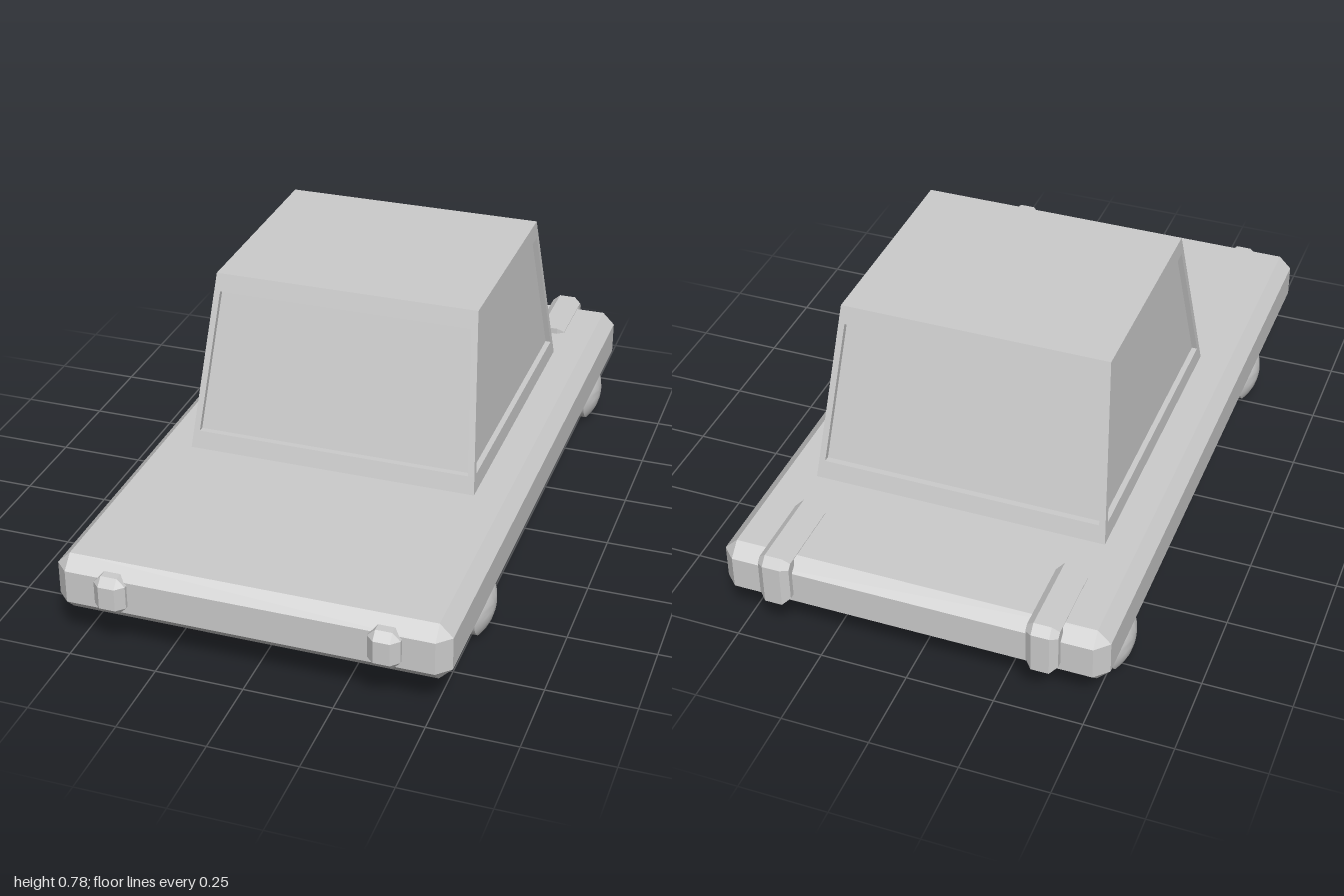
import * as THREE from 'three';
import { ConvexGeometry } from 'three/addons/geometries/ConvexGeometry.js';
import { toCreasedNormals } from 'three/addons/utils/BufferGeometryUtils.js';

const material = new THREE.MeshStandardMaterial({ color: 0xcccccc });

function add(parent, name, geometry, x = 0, y = 0, z = 0) {
  const mesh = new THREE.Mesh(geometry, material);
  mesh.name = name;
  mesh.position.set(x, y, z);
  parent.add(mesh);
  return mesh;
}

// Box with every edge and corner cut by c
function chamferBox(w, h, d, c) {
  const half = [w / 2, h / 2, d / 2];
  const points = [];
  for (const sx of [-1, 1]) for (const sy of [-1, 1]) for (const sz of [-1, 1]) {
    for (let axis = 0; axis < 3; axis++) {
      const [x, y, z] = half.map((v, i) => (i === axis ? v : v - c));
      points.push(new THREE.Vector3(sx * x, sy * y, sz * z));
    }
  }
  return new ConvexGeometry(points);
}

// Cabin half width and half length at a height
const CABIN_Z = -0.15;
function cabinAt(y) {
  const t = (y - 0.28) / 0.5;
  return [0.425 - 0.04 * t, 0.46 - 0.14 * t];
}

// Block that follows the cabin slope; u and v run -1..1 over width and length
function cabinBlock(y0, y1, place) {
  const geometry = new THREE.BoxGeometry(2, 2, 2);
  const p = geometry.attributes.position;
  for (let i = 0; i < p.count; i++) {
    const y = p.getY(i) > 0 ? y1 : y0;
    const [w, l] = cabinAt(y);
    const [x, z] = place(p.getX(i), p.getZ(i), w, l);
    p.setXYZ(i, x, y, z + CABIN_Z);
  }
  geometry.computeVertexNormals();
  return geometry;
}

export function createModel() {
  const car = new THREE.Group();
  car.name = 'car';

  // Flat body slab
  add(car, 'body', chamferBox(1.1, 0.17, 1.936, 0.037), 0, 0.195, 0);

  // Cabin: sill, roof, recessed glass and corner pillars
  const cabin = new THREE.Group();
  cabin.name = 'cabin';
  car.add(cabin);
  const full = (u, v, w, l) => [u * w, v * l];
  const inset = (u, v, w, l) => [u * (w - 0.016), v * (l - 0.018)];
  add(cabin, 'sill', cabinBlock(0.27, 0.33, full));
  add(cabin, 'roof', cabinBlock(0.73, 0.78, full));
  add(cabin, 'windows', cabinBlock(0.32, 0.74, inset));
  for (const sx of [-1, 1]) for (const sz of [-1, 1]) {
    const corner = (u, v, w, l) => [
      sx * (u * sx > 0 ? w : w - 0.018),
      sz * (v * sz > 0 ? l : l - 0.02),
    ];
    add(cabin, 'pillar', cabinBlock(0.33, 0.73, corner));
  }

  // Wheels with domed sides and a flat tread
  const profile = [
    [0, -0.056], [0.025, -0.054], [0.05, -0.047], [0.072, -0.036], [0.091, -0.022],
    [0.091, 0.022], [0.072, 0.036], [0.05, 0.047], [0.025, 0.054], [0, 0.056],
  ].map(([r, y]) => new THREE.Vector2(r, y));
  const wheel = toCreasedNormals(new THREE.LatheGeometry(profile, 32).rotateZ(Math.PI / 2), 0.5);

  // Rear bumper guard: an L that wraps over the tail edge
  const hook = new THREE.Shape([
    [0.76, 0.28], [0.95, 0.28], [0.95, 0.17], [0.985, 0.17],
    [0.985, 0.268], [0.972, 0.282], [0.75, 0.282], [0.75, 0.26], [0.76, 0.26],
  ].map(([z, y]) => new THREE.Vector2(z, y)));
  const rearGuard = new THREE.ExtrudeGeometry(hook, {
    depth: 0.05, bevelEnabled: true, bevelThickness: 0.02, bevelSize: 0.016, bevelSegments: 1,
  }).translate(0, 0, -0.025).rotateY(Math.PI / 2);
  const frontGuard = chamferBox(0.09, 0.11, 0.08, 0.022);

  for (const s of [-1, 1]) {
    add(car, 'frontWheel', wheel, s * 0.5, 0.093, 0.54);
    add(car, 'rearWheel', wheel, s * 0.5, 0.093, -0.74);
    add(car, 'frontBumperGuard', frontGuard, s * 0.38, 0.203, 0.96);
    add(car, 'rearBumperGuard', rearGuard, s * 0.38, 0, 0);
  }
  return car;
}
